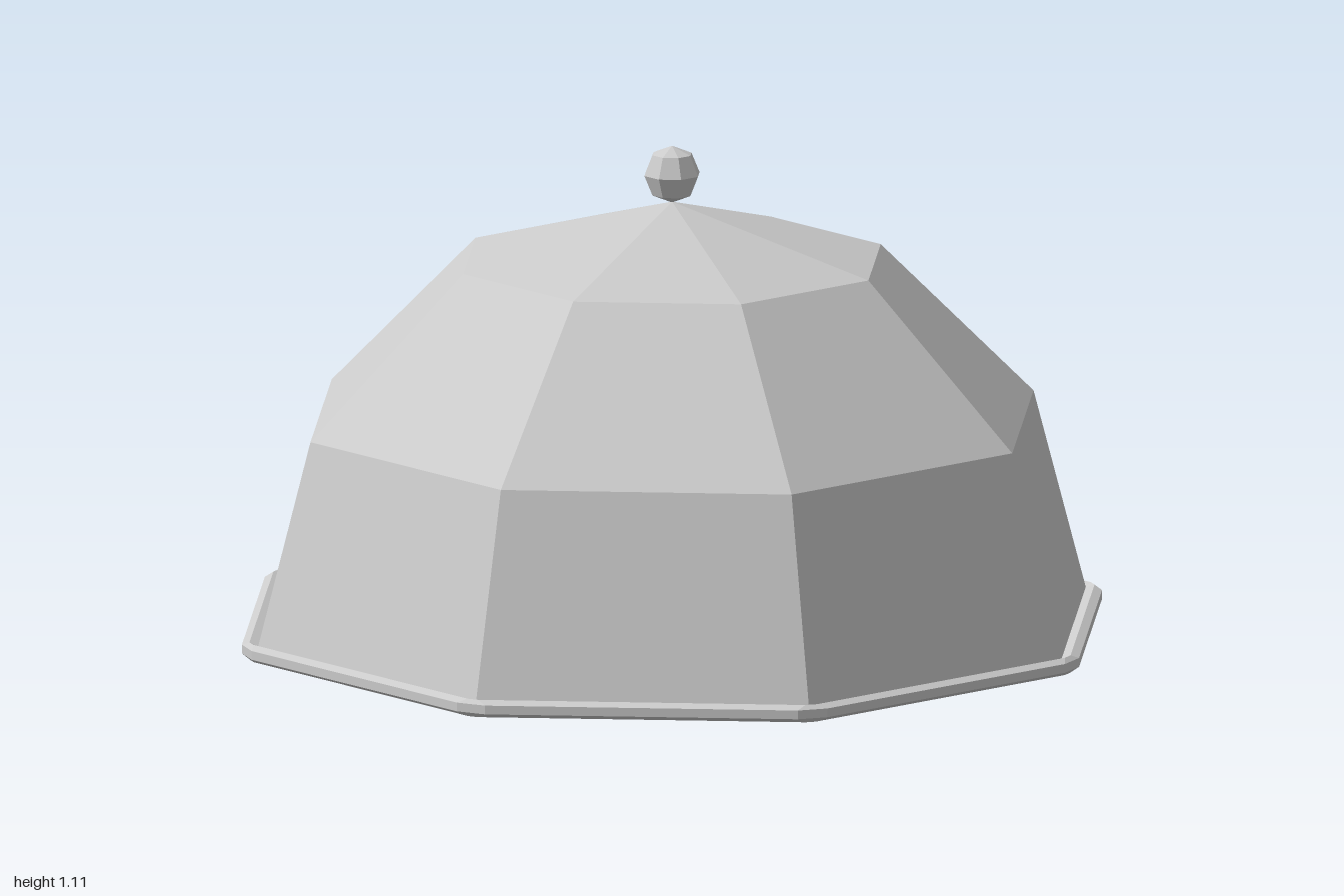
import * as THREE from 'three';

const SIDES = 8;
const RADIUS = 0.983;

// Octagonal ring contour pushed out by d; outer corners become chamfered
function ringPoint(i, side, d, y) {
  const half = Math.PI / SIDES;
  const apothem = RADIUS * Math.cos(half) + d;
  const far = d > 0 ? RADIUS + d * 0.6 : apothem / Math.cos(half);
  const t = side * Math.max(0, (apothem - far * Math.cos(half)) / Math.sin(half));
  const a = (i / SIDES) * Math.PI * 2;
  return [far * Math.sin(a) + t * Math.cos(a), y, far * Math.cos(a) - t * Math.sin(a)];
}

function rimGeometry() {
  // Cross-section: outward offset and height
  const section = [[0.03, 0.011], [0.03, 0.031], [0.012, 0.04], [-0.012, 0.031], [-0.012, 0.011], [0.01, 0]];
  const n = section.length;
  const positions = [];
  const index = [];
  for (let i = 0; i < SIDES; i++) {
    for (const side of [-1, 1]) {
      for (const [d, y] of section) positions.push(...ringPoint(i, side, d, y));
    }
  }
  const rings = SIDES * 2;
  for (let r = 0; r < rings; r++) {
    for (let k = 0; k < n; k++) {
      const a = r * n + k;
      const b = ((r + 1) % rings) * n + k;
      const c = ((r + 1) % rings) * n + ((k + 1) % n);
      const d = r * n + ((k + 1) % n);
      index.push(a, b, c, a, c, d);
    }
  }
  const g = new THREE.BufferGeometry();
  g.setAttribute('position', new THREE.Float32BufferAttribute(positions, 3));
  g.setIndex(index);
  const flat = g.toNonIndexed();
  flat.computeVertexNormals();
  return flat;
}

export function createModel() {
  const group = new THREE.Group();
  const material = new THREE.MeshStandardMaterial({ color: 0xcccccc, flatShading: true, side: THREE.DoubleSide });
  const add = (name, geometry, y = 0) => {
    const mesh = new THREE.Mesh(geometry, material);
    mesh.name = name;
    mesh.position.y = y;
    group.add(mesh);
  };

  // Open hemispherical cover
  add('dome', new THREE.SphereGeometry(RADIUS, SIDES, 3, 0, Math.PI * 2, 0, Math.PI / 2));
  // Bevelled lip around the open edge
  add('rim', rimGeometry());
  // Faceted handle on the peak
  add('knob', new THREE.SphereGeometry(0.065, SIDES, 4), 1.046);

  return group;
}
